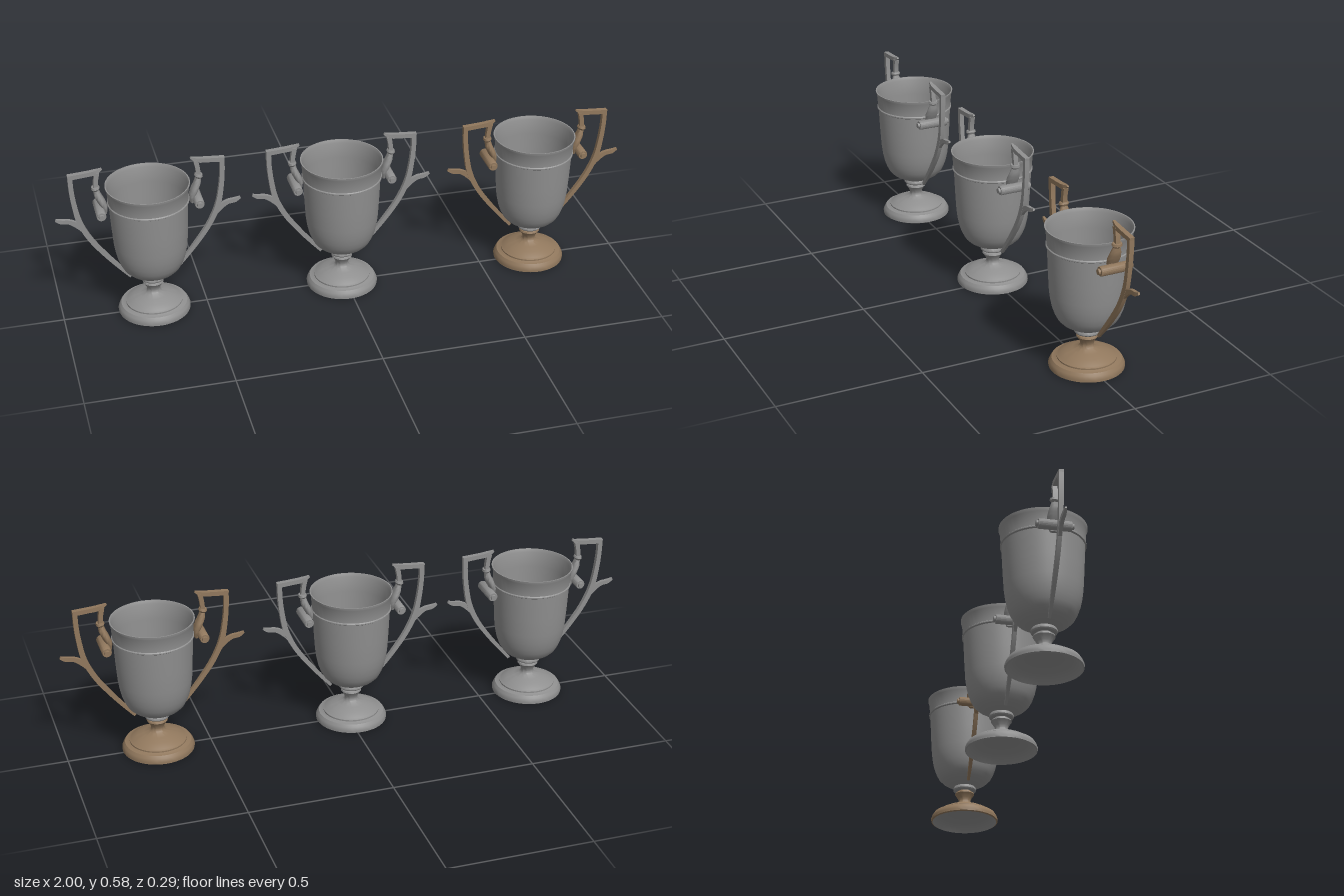
import * as THREE from 'three';
import { toCreasedNormals } from 'three/addons/utils/BufferGeometryUtils.js';

const grey = new THREE.MeshStandardMaterial({ color: 0x8f8f8f });
grey.name = 'pewter grey';
const brown = new THREE.MeshStandardMaterial({ color: 0x91785d });
brown.name = 'bronze brown';

function addMesh(parent, name, geometry, material) {
  const mesh = new THREE.Mesh(geometry, material);
  mesh.name = name;
  parent.add(mesh);
  return mesh;
}

// Revolves [radius, y] pairs, keeping sharp ridges
function lathe(points, segments = 48) {
  const g = new THREE.LatheGeometry(points.map(([r, y]) => new THREE.Vector2(r, y)), segments);
  return toCreasedNormals(g, 0.6);
}

// Sweeps a section along a path in the xy plane; stations are [x, y, thickness, depth]
function sweep(stations, { sides = 4, steps = 1, crease = 0.6 } = {}) {
  const path = new THREE.CatmullRomCurve3(stations.map(([x, y]) => new THREE.Vector3(x, y, 0)));
  const n = (stations.length - 1) * steps;
  const k = sides === 4 ? Math.SQRT2 : 1;
  const position = [];
  const index = [];
  for (let i = 0; i <= n; i++) {
    const p = path.getPoint(i / n);
    const dir = path.getTangent(i / n);
    const s = Math.min(Math.floor(i / steps), stations.length - 2);
    const f = i / steps - s;
    const w = THREE.MathUtils.lerp(stations[s][2], stations[s + 1][2], f) / 2;
    const d = THREE.MathUtils.lerp(stations[s][3], stations[s + 1][3], f) / 2;
    for (let j = 0; j < sides; j++) {
      const a = ((j + 0.5) / sides) * Math.PI * 2;
      const u = Math.cos(a) * w * k;
      position.push(p.x + dir.y * u, p.y - dir.x * u, -Math.sin(a) * d * k);
    }
  }
  for (let i = 0; i < n; i++) {
    for (let j = 0; j < sides; j++) {
      const a = i * sides + j;
      const b = i * sides + ((j + 1) % sides);
      index.push(a, b, b + sides, a, b + sides, a + sides);
    }
  }
  // End caps
  for (let j = 1; j < sides - 1; j++) {
    index.push(0, j + 1, j);
    index.push(n * sides, n * sides + j, n * sides + j + 1);
  }
  const g = new THREE.BufferGeometry();
  g.setAttribute('position', new THREE.Float32BufferAttribute(position, 3));
  g.setIndex(index);
  return toCreasedNormals(g, crease);
}

// Outer wall from the bottom ring to the rim, then down the inside
const bowlProfile = [
  [0.02, 0.122], [0.04, 0.123], [0.043, 0.127], [0.043, 0.133], [0.039, 0.139],
  [0.045, 0.141], [0.066, 0.151], [0.084, 0.162], [0.098, 0.176], [0.108, 0.195],
  [0.116, 0.217], [0.122, 0.245], [0.126, 0.275], [0.13, 0.34], [0.134, 0.427],
  [0.1385, 0.43], [0.1385, 0.434], [0.1355, 0.437], [0.139, 0.485],
  [0.143, 0.492], [0.143, 0.496], [0.139, 0.496],
  [0.134, 0.485], [0.13, 0.43], [0.125, 0.34], [0.121, 0.275], [0.117, 0.245],
  [0.11, 0.217], [0.102, 0.195], [0.091, 0.178], [0.076, 0.167], [0.055, 0.158],
  [0.03, 0.153], [0, 0.152],
];

const footProfile = [
  [0.119, 0], [0.124, 0.003], [0.125, 0.01], [0.12, 0.022], [0.114, 0.031], [0.098, 0.034],
  [0.098, 0.039], [0.092, 0.044], [0.07, 0.055], [0.048, 0.063], [0.03, 0.069],
  [0.024, 0.075], [0.022, 0.083], [0.025, 0.093], [0.033, 0.106], [0.036, 0.11],
  [0.034, 0.115], [0.026, 0.119], [0.025, 0.125],
];

const undersideProfile = [
  [0, 0.042], [0.04, 0.04], [0.062, 0.034], [0.085, 0.027], [0.105, 0.018], [0.119, 0],
];

// One handle on the +x side
function createHandle(material) {
  const handle = new THREE.Group();
  addMesh(handle, 'curvedStrut', sweep([
    [0.075, 0.141, 0.01, 0.009], [0.112, 0.185, 0.013, 0.012], [0.156, 0.24, 0.015, 0.014],
    [0.203, 0.308, 0.017, 0.014], [0.235, 0.378, 0.019, 0.014], [0.249, 0.45, 0.017, 0.015],
    [0.255, 0.51, 0.016, 0.016], [0.256, 0.562, 0.016, 0.017],
  ], { steps: 4 }), material);
  addMesh(handle, 'outerSpur', sweep([
    [0.218, 0.338, 0.012, 0.011], [0.243, 0.369, 0.019, 0.012], [0.27, 0.386, 0.015, 0.012],
    [0.296, 0.39, 0.015, 0.011], [0.315, 0.398, 0.008, 0.007],
  ], { steps: 4 }), material);
  addMesh(handle, 'topBar', sweep([
    [0.264, 0.555, 0.016, 0.017], [0.21, 0.559, 0.015, 0.017], [0.172, 0.563, 0.016, 0.016],
    [0.149, 0.573, 0.006, 0.007],
  ], { steps: 3 }), material);
  addMesh(handle, 'innerPost', sweep([
    [0.166, 0.562, 0.016, 0.017], [0.172, 0.53, 0.015, 0.016], [0.174, 0.495, 0.016, 0.016],
  ], { steps: 2 }), material);

  // Leaf curling from the post inward to the bowl
  addMesh(handle, 'leafCollar', sweep([
    [0.175, 0.509, 0.026, 0.032], [0.174, 0.502, 0.03, 0.036], [0.172, 0.495, 0.02, 0.024],
  ], { sides: 12 }), material);
  addMesh(handle, 'leaf', sweep([
    [0.173, 0.498, 0.02, 0.022], [0.168, 0.475, 0.025, 0.037], [0.158, 0.452, 0.026, 0.046],
    [0.149, 0.43, 0.022, 0.042], [0.148, 0.404, 0.014, 0.026],
  ], { sides: 12, steps: 3, crease: 0.9 }), material);

  // Cross roll with end buttons
  const roll = addMesh(handle, 'crossRoll', lathe([
    [0, -0.061], [0.009, -0.061], [0.01, -0.054], [0.015, -0.054], [0.0165, -0.051],
    [0.0165, 0.051], [0.015, 0.054], [0.01, 0.054], [0.009, 0.061], [0, 0.061],
  ], 20), material);
  roll.rotation.x = Math.PI / 2;
  roll.position.set(0.166, 0.419, 0);
  return handle;
}

function createCup(trim) {
  const cup = new THREE.Group();
  addMesh(cup, 'bowl', lathe(bowlProfile), grey);
  addMesh(cup, 'footAndStem', lathe(footProfile), trim);
  addMesh(cup, 'footUnderside', lathe(undersideProfile), grey);
  // Stem rivet showing on the bowl floor
  const rivet = addMesh(cup, 'stemRivet', new THREE.CylinderGeometry(0.021, 0.021, 0.008, 24), trim);
  rivet.position.y = 0.153;
  for (const [name, turn] of [['leftHandle', 0], ['rightHandle', Math.PI]]) {
    const handle = createHandle(trim);
    handle.name = name;
    handle.rotation.y = turn;
    cup.add(handle);
  }
  return cup;
}

export function createModel() {
  const model = new THREE.Group();
  model.name = 'threeTrophyCups';
  const cups = [['rightCup', -0.685, grey], ['middleCup', -0.013, grey], ['leftCup', 0.685, brown]];
  for (const [name, x, trim] of cups) {
    const cup = createCup(trim);
    cup.name = name;
    cup.position.x = x;
    model.add(cup);
  }
  return model;
}
